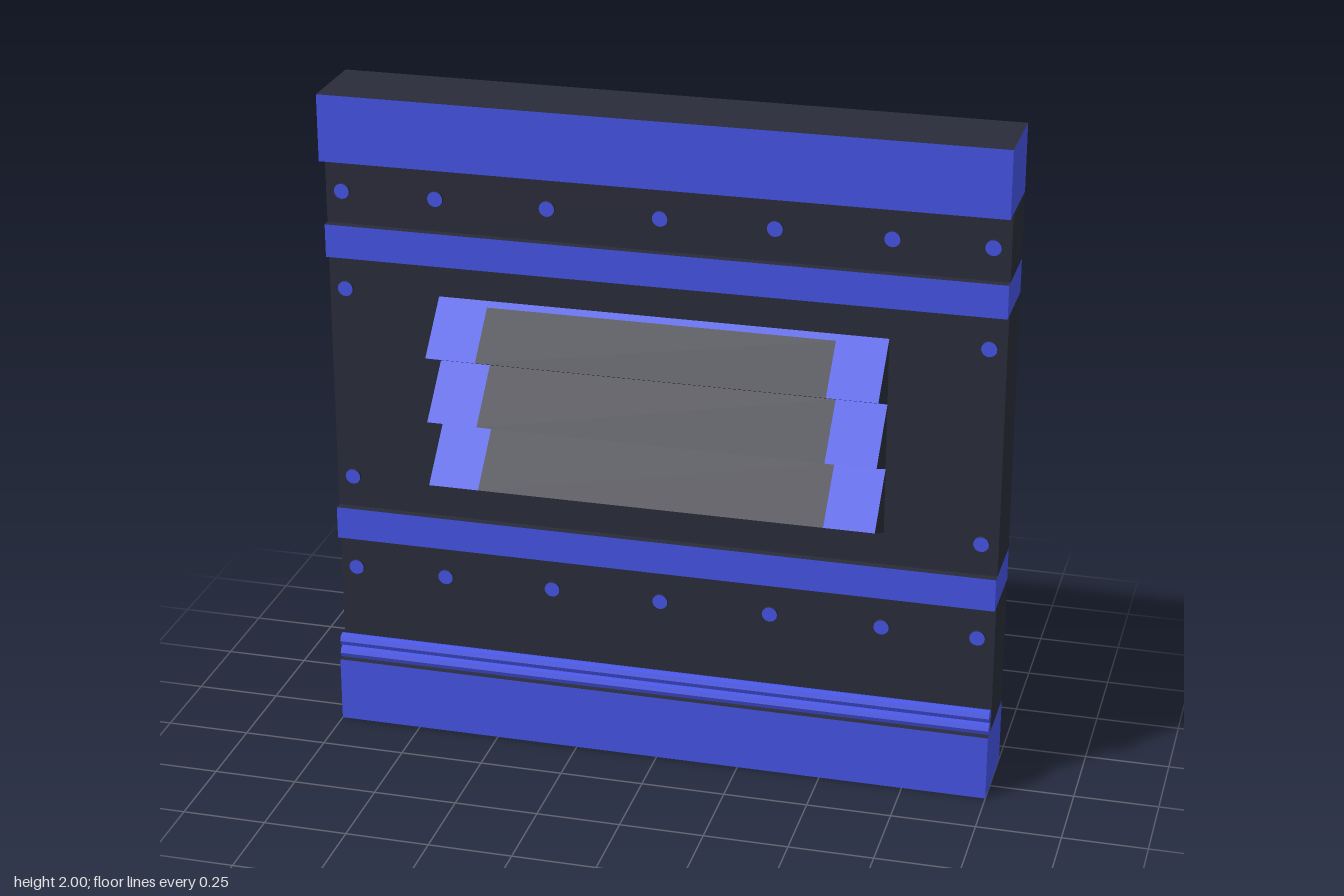
import * as THREE from 'three';

const blue = new THREE.MeshStandardMaterial({ color: 0x4453e2, flatShading: true });
const dark = new THREE.MeshStandardMaterial({ color: 0x292b39, flatShading: true });
const BACK = -0.17, FACE = 0.03;

export function createModel() {
  const root = new THREE.Group();
  const add = (name, geometry, material, x = 0, y = 0, z = 0) => {
    const mesh = new THREE.Mesh(geometry, material);
    mesh.name = name;
    mesh.position.set(x, y, z);
    root.add(mesh);
    return mesh;
  };

  // Full-width slab reaching from the back plane to the given front plane
  const slab = (name, y0, y1, front, material) =>
    add(name, new THREE.BoxGeometry(2, y1 - y0, front - BACK), material,
      0, (y0 + y1) / 2, (front + BACK) / 2);

  // Dark wall panels between blue bands; the bands have dark tops and undersides
  const banded = [blue, blue, dark, dark, blue, blue];
  slab('lowerPanel', 0.2, 0.6, FACE, dark);
  slab('middlePanel', 0.7, 1.5, FACE, dark);
  slab('upperPanel', 1.6, 1.8, FACE, dark);
  slab('baseBeam', 0, 0.2, 0.08, banded);
  slab('lowerTrim', 0.6, 0.7, 0.055, banded);
  slab('upperTrim', 1.5, 1.6, 0.055, banded);
  slab('topBeam', 1.8, 2, 0.08, banded);

  // Prism along x from a profile of [z, y] points
  const prism = (name, profile, x0, x1, y, material) => {
    const shape = new THREE.Shape(profile.map(([z, h]) => new THREE.Vector2(-z, h)));
    const geometry = new THREE.ExtrudeGeometry(shape, { depth: x1 - x0, bevelEnabled: false });
    geometry.rotateY(Math.PI / 2);
    add(name, geometry, [dark, material], x0, y);
  };

  // Three louvers with a dark centre and blue ends
  const top = [FACE, 0.2], tip = [0.17, 0.06], bottom = [FACE, 0];
  const topCut = [0.045, 0.185], bottomCut = [0.053, 0.01];
  for (let i = 0; i < 3; i++) {
    const y = 0.8 + i * 0.2;
    const full = [bottom, tip, top];
    prism('louverEndRight', full, -0.665, -0.515, y, blue);
    prism('louverEndLeft', full, 0.515, 0.665, y, blue);
    const centre = [
      ...(i === 0 ? [[FACE, 0.01], bottomCut] : [bottom]), tip,
      ...(i === 2 ? [topCut, [FACE, 0.185]] : [top]),
    ];
    prism('louverCentre', centre, -0.515, 0.515, y, dark);
  }
  // Thin blue edges closing the louver frame
  prism('louverTopEdge', [[FACE, 0.185], topCut, top], -0.515, 0.515, 1.2, blue);
  prism('louverBottomEdge', [bottom, bottomCut, [FACE, 0.01]], -0.515, 0.515, 0.8, blue);

  // Rivets with blue heads and dark rims
  const rivet = new THREE.CylinderGeometry(0.023, 0.023, 0.02, 16).rotateX(Math.PI / 2);
  const row = [-0.95, -0.667, -0.333, 0, 0.333, 0.667, 0.95];
  const rows = [[1.7, row], [1.4, [-0.95, 0.95]], [0.8, [-0.95, 0.95]], [0.5, row]];
  for (const [y, xs] of rows) {
    for (const x of xs) add('rivet', rivet, [dark, blue, blue], x, y, 0.03);
  }

  // Two pipes above the base beam
  const pipe = new THREE.CylinderGeometry(0.02, 0.02, 2, 8).rotateZ(Math.PI / 2);
  for (const y of [0.22, 0.26]) add('pipe', pipe, blue, 0, y, 0.055);

  return root;
}
